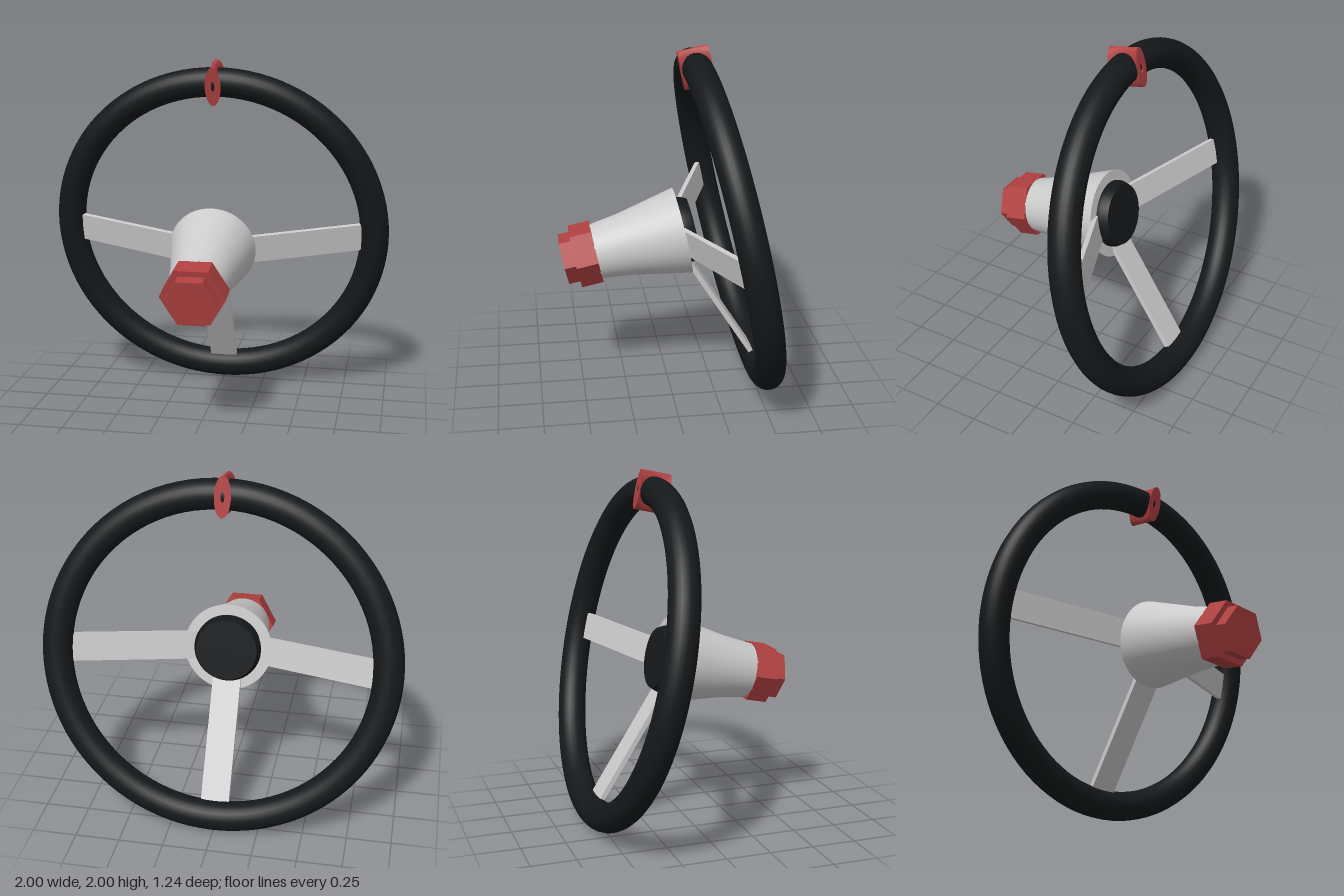
import * as THREE from 'three';
import { toCreasedNormals } from 'three/addons/utils/BufferGeometryUtils.js';

export function createModel() {
  const model = new THREE.Group();
  model.name = 'steeringWheel';

  // Everything is built around the rim centre, axis along local z, then tilted
  const wheel = new THREE.Group();
  wheel.name = 'tiltedWheel';
  wheel.position.set(0, 0.984, -0.348);
  wheel.rotation.x = 0.206;
  model.add(wheel);

  const grey = new THREE.MeshStandardMaterial({ color: 0xcccccc });
  const black = new THREE.MeshStandardMaterial({ color: 0x15181a });
  const red = new THREE.MeshStandardMaterial({ color: 0xb04040 });

  const add = (name, geometry, material) => {
    const mesh = new THREE.Mesh(geometry, material);
    mesh.name = name;
    wheel.add(mesh);
    return mesh;
  };

  // Turned part: profile of [radius, position along the axis]
  const turned = (profile) => toCreasedNormals(
    new THREE.LatheGeometry(profile.map(([r, z]) => new THREE.Vector2(r, z)), 48).rotateX(Math.PI / 2), 0.5);

  // Hexagonal part with corners on the left and right
  const hexagon = (radius, from, to) => toCreasedNormals(
    new THREE.CylinderGeometry(radius, radius, to - from, 6)
      .rotateY(Math.PI / 6).rotateX(Math.PI / 2).translate(0, 0, (from + to) / 2), 0.5);

  // Rim
  add('rim', new THREE.TorusGeometry(0.915, 0.083, 24, 96), black);

  // Hub, back cap and front nut
  add('hub', turned([[0, 0.265], [0.25, 0.265], [0.212, 0.45], [0.181, 0.6], [0.157, 0.78], [0, 0.78]]), grey);
  add('backCap', turned([[0, 0.2], [0.172, 0.2], [0.19, 0.24], [0.19, 0.27], [0, 0.27]]), black);
  add('nut', hexagon(0.182, 0.77, 0.895), red);
  add('nutTip', hexagon(0.146, 0.89, 0.962), red);

  // Three flat spokes sloping from the hub back to the rim
  const inner = new THREE.Vector2(0.17, 0.272), outer = new THREE.Vector2(0.88, 0.008);
  const slope = Math.atan2(inner.y - outer.y, outer.x - inner.x);
  const spokes = { leftSpoke: 0, rightSpoke: Math.PI, bottomSpoke: -Math.PI / 2 };
  for (const [name, angle] of Object.entries(spokes)) {
    const geometry = new THREE.BoxGeometry(inner.distanceTo(outer), 0.16, 0.028)
      .rotateY(slope)
      .translate((inner.x + outer.x) / 2, 0, (inner.y + outer.y) / 2)
      .rotateZ(angle);
    add(name, geometry, grey);
  }

  // Marker band around the top of the rim: an oval, narrowed at mid depth
  const depth = 0.172;
  const oval = new THREE.Shape().absellipse(0, 0, 0.045, 0.111, 0, Math.PI * 2);
  oval.holes.push(new THREE.Path().absellipse(0, 0, 0.01, 0.03, 0, Math.PI * 2, true));
  const band = new THREE.ExtrudeGeometry(oval, { depth, steps: 6, bevelEnabled: false, curveSegments: 24 });
  band.translate(0, 0.912, -depth / 2);
  const p = band.attributes.position;
  for (let i = 0; i < p.count; i++) {
    const t = p.getZ(i) / (depth / 2);
    p.setX(i, p.getX(i) * (0.65 + 0.35 * t * t));
  }
  add('topMarker', toCreasedNormals(band, 0.6), red);

  return model;
}
